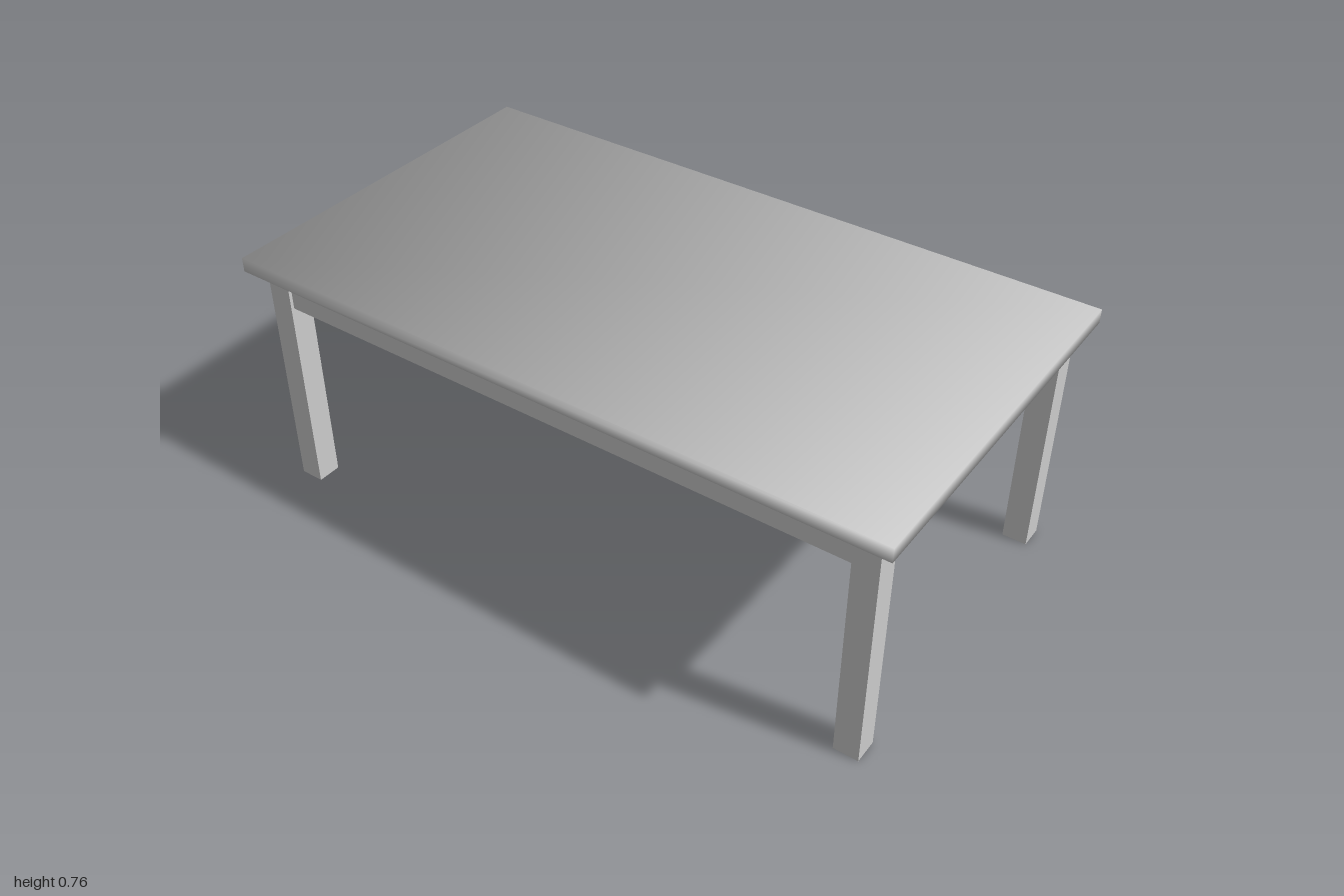
import * as THREE from 'three';

const material = new THREE.MeshStandardMaterial({ color: 0xcccccc });

function box(name, size, position) {
  const mesh = new THREE.Mesh(new THREE.BoxGeometry(...size), material);
  mesh.name = name;
  mesh.position.set(...position);
  return mesh;
}

// Soft shading: every corner shares one outward diagonal normal
function softenCorners(geometry) {
  const { position, normal } = geometry.attributes;
  const n = new THREE.Vector3();
  for (let i = 0; i < position.count; i++) {
    n.fromBufferAttribute(position, i);
    n.set(Math.sign(n.x), Math.sign(n.y), Math.sign(n.z)).normalize();
    normal.setXYZ(i, n.x, n.y, n.z);
  }
}

export function createModel() {
  const table = new THREE.Group();
  table.name = 'table';

  const topY = 0.757, underY = 0.715, apronY = 0.61;
  const legX = 0.955, legZ = 0.515, leg = 0.072; // outer leg faces, leg width
  const recess = 0.01; // aprons sit just behind the outer leg faces

  // Tabletop
  const top = box('tabletop', [2, topY - underY, 1.115], [0, (topY + underY) / 2, 0]);
  softenCorners(top.geometry);
  table.add(top);

  // Legs
  for (const [sx, side] of [[1, 'Left'], [-1, 'Right']]) {
    for (const [sz, end] of [[1, 'front'], [-1, 'back']]) {
      table.add(box(`${end}${side}Leg`, [leg, underY, leg],
        [sx * (legX - leg / 2), underY / 2, sz * (legZ - leg / 2)]));
    }
  }

  // Aprons between the legs, flush with the inner leg faces
  const thick = leg - recess, inX = legX - leg, inZ = legZ - leg;
  const height = underY - apronY, y = (underY + apronY) / 2;
  for (const [s, longName, shortName] of [[1, 'frontApron', 'leftApron'], [-1, 'backApron', 'rightApron']]) {
    table.add(box(longName, [2 * inX, height, thick], [0, y, s * (inZ + thick / 2)]));
    table.add(box(shortName, [thick, height, 2 * inZ], [s * (inX + thick / 2), y, 0]));
  }

  return table;
}
